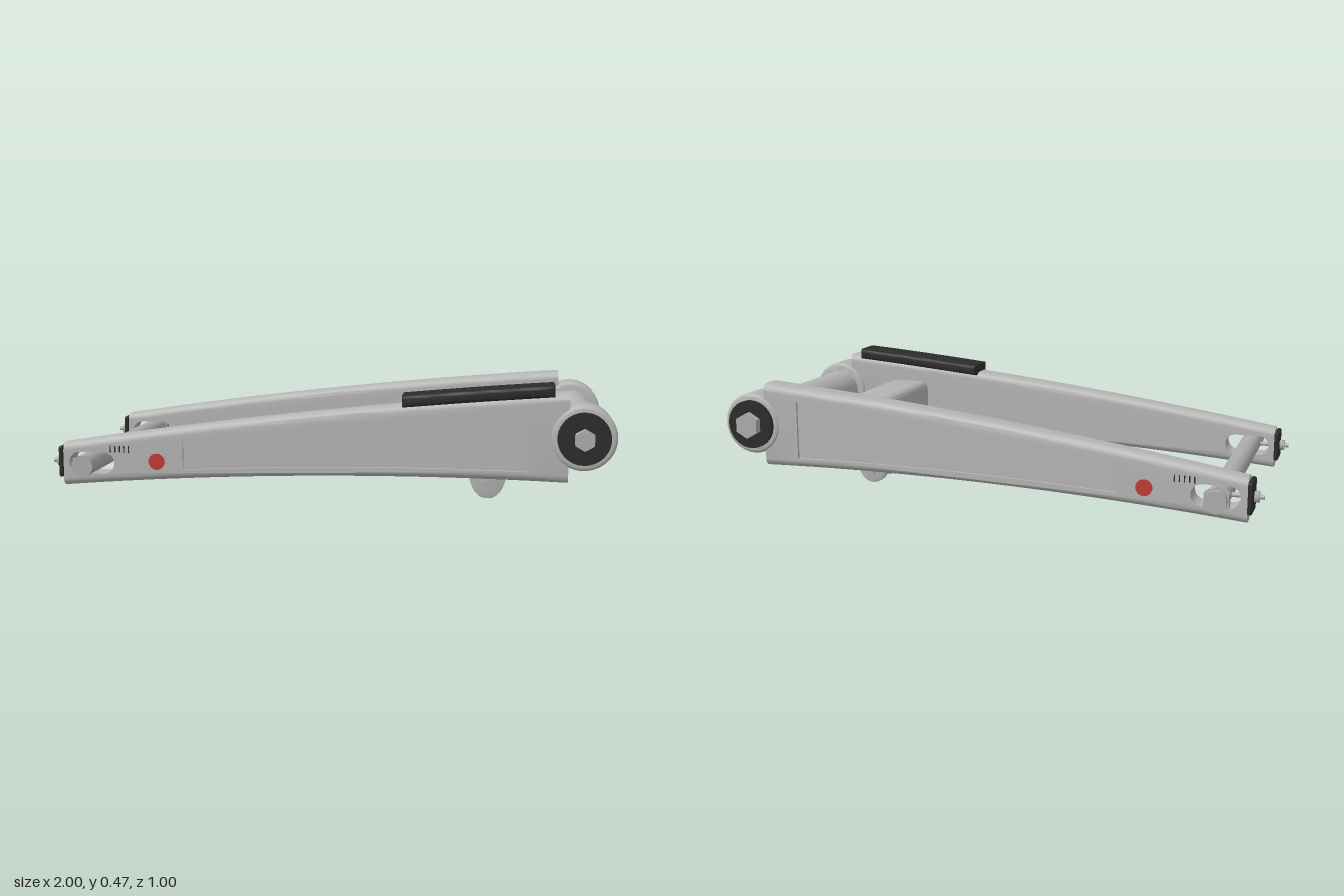
import * as THREE from 'three';
import { toCreasedNormals } from 'three/addons/utils/BufferGeometryUtils.js';
import { RoundedBoxGeometry } from 'three/addons/geometries/RoundedBoxGeometry.js';

const material = (name, color) => {
  const m = new THREE.MeshStandardMaterial({ color });
  m.name = name;
  return m;
};

// Arm profile: top and bottom edges, centre line and half width along x
const X0 = -0.95, X1 = 0.835;
const along = (x) => (x - X0) / (X1 - X0);
const arch = (t, h) => 4 * h * t * (1 - t);
const top = (x) => 0.235 + 0.205 * along(x) + arch(along(x), 0.02);
const bottom = (x) => 0.08 + 0.05 * along(x) + arch(along(x), 0.028);
const centreZ = (x) => 0.383 - 0.02 * along(x);
const halfWidth = (x) => 0.042 + 0.015 * along(x);
const outerZ = (x) => centreZ(x) + halfWidth(x);

// Closed outline between two curves
function band(a, b, low, high, n = 20) {
  const lower = [], upper = [];
  for (let i = 0; i <= n; i++) {
    const x = a + (b - a) * i / n;
    lower.push(new THREE.Vector2(x, low(x)));
    upper.unshift(new THREE.Vector2(x, high(x)));
  }
  return lower.concat(upper);
}

const panelOutline = () => band(-0.51, 0.7, (x) => bottom(x) + 0.034, (x) => top(x) - 0.047);

function reshape(geometry, rule) {
  const p = geometry.attributes.position, v = new THREE.Vector3();
  for (let i = 0; i < p.count; i++) {
    rule(v.fromBufferAttribute(p, i));
    p.setXYZ(i, v.x, v.y, v.z);
  }
  return toCreasedNormals(geometry, 0.5);
}

// Tapered arm with rounded long edges, an axle slot and a panel opening
function armGeometry(side) {
  const shape = new THREE.Shape(band(X0, X1, bottom, top));
  const slot = new THREE.Path();
  slot.absarc(-0.8, 0.166, 0.038, -Math.PI / 2, Math.PI / 2);
  slot.absarc(-0.89, 0.166, 0.038, Math.PI / 2, Math.PI * 1.5);
  slot.closePath();
  shape.holes.push(slot, new THREE.Path(panelOutline()));
  const arc = 5, layers = 2 * arc + 1, r = 0.027;
  const g = new THREE.ExtrudeGeometry(shape, { depth: 1, steps: layers, bevelEnabled: false, curveSegments: 12 });
  return reshape(g, (v) => {
    const k = Math.round(v.z * layers);
    const a = Math.min(k, layers - k) / arc * Math.PI / 2;
    const inset = r * (1 - Math.sin(a));
    const half = halfWidth(v.x) - r * (1 - Math.cos(a));
    if (Math.abs(v.y - top(v.x)) < 1e-4) v.y -= inset;
    else if (Math.abs(v.y - bottom(v.x)) < 1e-4) v.y += inset;
    v.z = side * centreZ(v.x) + (k <= arc ? -half : half);
  });
}

// Sunken panel: flush inside, set back outside
function panelGeometry(side) {
  const g = new THREE.ExtrudeGeometry(new THREE.Shape(panelOutline()), { depth: 1, bevelEnabled: false });
  return reshape(g, (v) => {
    const s = v.z > 0.5 ? 1 : -1;
    v.z = side * centreZ(v.x) + s * (halfWidth(v.x) - (s === side ? 0.01 : 0));
  });
}

// Bowed cross beam with a rounded rectangular section
function beamGeometry() {
  const w = 0.0825, h = 0.078, r = 0.03, s = new THREE.Shape();
  s.absarc(w - r, h - r, r, 0, Math.PI / 2);
  s.absarc(r - w, h - r, r, Math.PI / 2, Math.PI);
  s.absarc(r - w, r - h, r, Math.PI, Math.PI * 1.5);
  s.absarc(w - r, r - h, r, Math.PI * 1.5, Math.PI * 2);
  const length = 0.66;
  const g = new THREE.ExtrudeGeometry(s, { depth: length, steps: 20, bevelEnabled: false, curveSegments: 6 });
  return reshape(g, (v) => {
    v.z -= length / 2;
    const bow = 1 - (v.z / 0.31) ** 2;
    v.x += 0.568 - 0.027 * bow;
    v.y += 0.265 + 0.016 * bow;
  });
}

export function createModel() {
  const metal = material('grey metal', 0xb4b4b4);
  const steel = material('bolt steel', 0xacacac);
  const black = material('black rubber', 0x2b2b2b);
  const red = material('red reflector', 0xbf3a34);

  const model = new THREE.Group();
  model.name = 'swingArm';
  const add = (name, geometry, mat, x = 0, y = 0, z = 0) => {
    const mesh = new THREE.Mesh(geometry, mat);
    mesh.name = name;
    mesh.position.set(x, y, z);
    model.add(mesh);
    return mesh;
  };
  // Rods between two stations along z or x
  const rodZ = (name, mat, x, y, z0, z1, r, sides = 32) =>
    add(name, new THREE.CylinderGeometry(r, r, z1 - z0, sides).rotateX(Math.PI / 2).toNonIndexed(), mat, x, y, (z0 + z1) / 2);
  const rodX = (name, mat, x0, x1, y, z, r, sides = 16) =>
    add(name, new THREE.CylinderGeometry(r, r, x1 - x0, sides).rotateZ(Math.PI / 2), mat, (x0 + x1) / 2, y, z);
  const hexZ = (...args) => {
    const m = rodZ(...args, 6);
    m.geometry = toCreasedNormals(m.geometry, 0.5);
  };

  const pivotX = 0.885, pivotY = 0.288, axleX = -0.855, axleY = 0.166;

  // Rounded pivot housing profile, turned about z
  const hubProfile = [[0, -0.0625]];
  for (let i = 0; i <= 10; i++) {
    const upper = i > 5, a = (upper ? i - 6 : i) / (upper ? 4 : 5) * Math.PI / 2 + (upper ? 0 : -Math.PI / 2);
    hubProfile.push([0.099 + 0.014 * Math.cos(a), (upper ? 0.0485 : -0.0485) + 0.014 * Math.sin(a)]);
  }
  hubProfile.push([0, 0.0625]);
  const hubGeometry = toCreasedNormals(new THREE.LatheGeometry(
    hubProfile.map(([r, y]) => new THREE.Vector2(r, y)), 48).rotateX(Math.PI / 2), 0.5);

  for (const side of [1, -1]) {
    const label = side > 0 ? 'front' : 'back';
    const part = (name) => label + name;
    const span = (a, b) => (side > 0 ? [a, b] : [-b, -a]);
    add(part('Arm'), armGeometry(side), metal);
    add(part('ArmPanel'), panelGeometry(side), metal);
    add(part('PivotHousing'), hubGeometry, metal, pivotX, pivotY, side * 0.3625);
    rodZ(part('PivotSeal'), black, pivotX, pivotY, ...span(0.42, 0.439), 0.09, 40);

    // Rear end cap with adjuster bolt
    const endZ = side * 0.382;
    add(part('EndCap'), new RoundedBoxGeometry(0.018, 0.112, 0.096, 3, 0.008), black, -0.958, 0.168, endZ);
    rodX(part('AdjusterRod'), steel, -1, axleX, axleY, endZ, 0.008);
    rodX(part('AdjusterNut'), steel, -0.984, -0.964, axleY, endZ, 0.02, 6);

    // Round reflector and adjustment ticks on the outer face
    const dot = rodZ(part('Reflector'), red, -0.605, 0.175, -0.004, 0.004, 0.029, 20);
    dot.position.z = side * outerZ(-0.605);
    for (let i = 0; i < 5; i++) {
      const x = -0.775 + i * 0.017;
      add(part('AdjusterTick'), new THREE.BoxGeometry(0.004, 0.024, 0.004), black, x, 0.217, side * outerZ(x));
    }

    // Linkage lug under the beam
    const lug = new THREE.Shape();
    lug.moveTo(0.49, 0.22);
    lug.lineTo(0.49, 0.13);
    lug.bezierCurveTo(0.495, 0.05, 0.52, 0.003, 0.562, 0.003);
    lug.bezierCurveTo(0.605, 0.003, 0.63, 0.05, 0.635, 0.13);
    lug.lineTo(0.635, 0.22);
    add(part('LinkageLug'), toCreasedNormals(new THREE.ExtrudeGeometry(lug,
      { depth: 0.02, bevelThickness: 0.003, bevelSize: 0.003, bevelSegments: 2, curveSegments: 16 }), 0.5),
      metal, 0, 0, side * 0.063 - 0.01);
  }

  // Pivot tube, its bolt and nut
  rodZ('pivotTube', metal, pivotX, pivotY, -0.31, 0.31, 0.08, 48);
  hexZ('pivotBoltHead', steel, pivotX, pivotY, 0.43, 0.47, 0.037);
  hexZ('pivotNut', steel, pivotX, pivotY, -0.467, -0.43, 0.048);

  // Axle and nut
  rodZ('axle', steel, axleX, axleY, -0.5, 0.5, 0.038);
  hexZ('axleNut', steel, axleX, axleY, -0.476, -0.444, 0.048);

  add('crossBeam', beamGeometry(), metal);

  // Linkage bolt
  rodZ('linkageBolt', steel, 0.565, 0.052, -0.092, 0.085, 0.018, 24);
  hexZ('linkageBoltHead', steel, 0.565, 0.052, 0.078, 0.094, 0.028);

  // Chain slider on top of the front arm
  const slider = new THREE.Shape(band(0.277, 0.773, (x) => top(x) + 0.002, (x) => top(x) + 0.019, 10));
  add('chainSlider', toCreasedNormals(new THREE.ExtrudeGeometry(slider,
    { depth: 0.106, bevelThickness: 0.012, bevelSize: 0.012, bevelSegments: 4 }), 0.5), black, 0, 0, 0.307);

  // Small hose bracket by the back arm
  add('hoseBracket', new RoundedBoxGeometry(0.065, 0.036, 0.042, 3, 0.008), metal, -0.36, 0.176, -0.294);

  return model;
}
